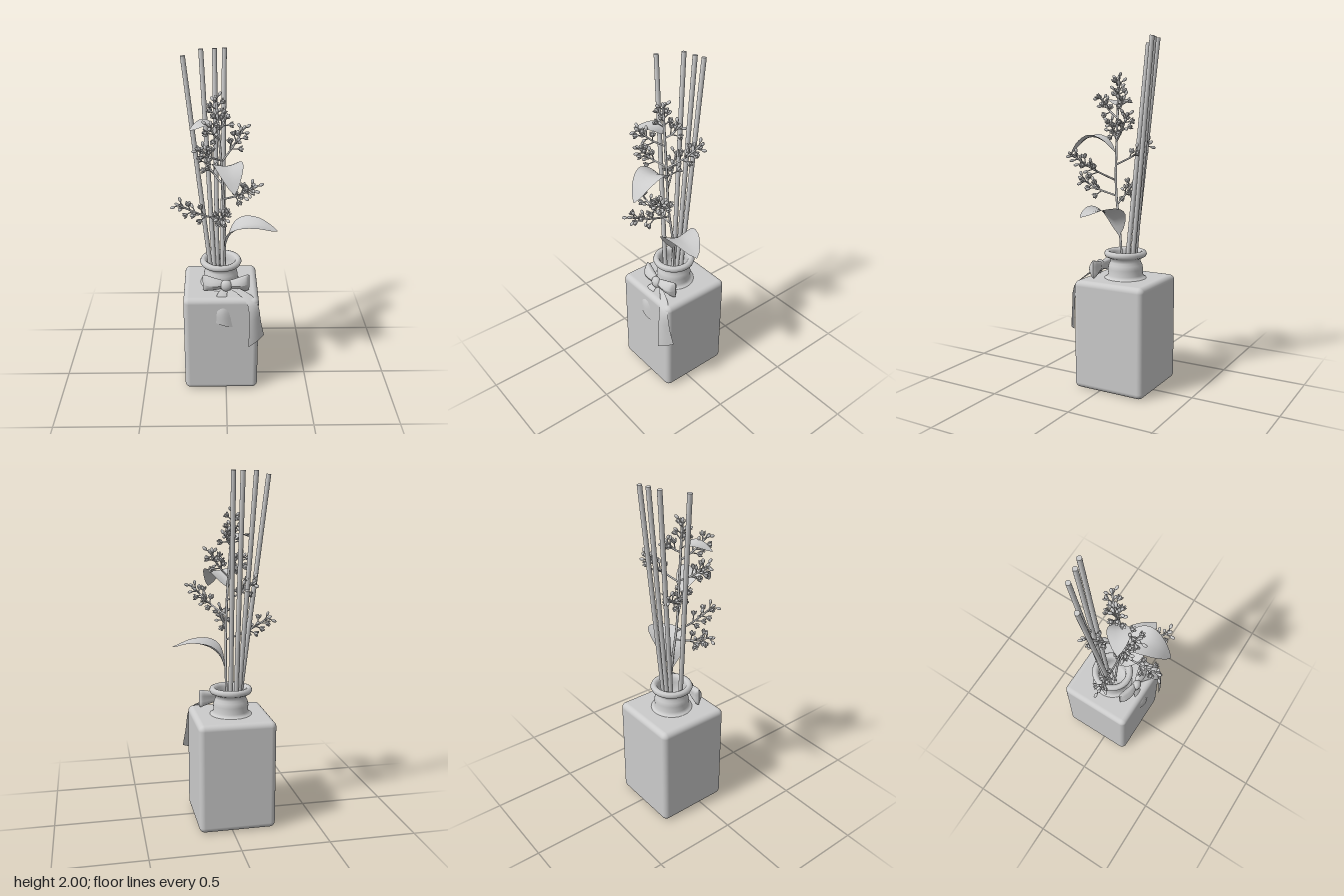
import * as THREE from 'three';
import { mergeGeometries } from 'three/addons/utils/BufferGeometryUtils.js';
import { RoundedBoxGeometry } from 'three/addons/geometries/RoundedBoxGeometry.js';

const V = (x, y, z) => new THREE.Vector3(x, y, z);
const UP = V(0, 1, 0);
const solid = new THREE.MeshStandardMaterial({ color: 0xcccccc });
const thin = new THREE.MeshStandardMaterial({ color: 0xcccccc, side: THREE.DoubleSide });

function add(parent, name, geometry, material = solid) {
  const mesh = new THREE.Mesh(geometry, material);
  mesh.name = name;
  parent.add(mesh);
  return mesh;
}

// Surface through a grid: point(u, v) returns a Vector3
function surface(point, nu, nv) {
  const pos = [], index = [];
  for (let i = 0; i <= nu; i++) {
    for (let j = 0; j <= nv; j++) {
      pos.push(...point(i / nu, j / nv).toArray());
      if (i < nu && j < nv) {
        const a = i * (nv + 1) + j, b = a + nv + 1;
        index.push(a, b, a + 1, b, b + 1, a + 1);
      }
    }
  }
  const g = new THREE.BufferGeometry();
  g.setAttribute('position', new THREE.Float32BufferAttribute(pos, 3));
  g.setIndex(index);
  g.computeVertexNormals();
  return g;
}

// Straight rod between two points
function rod(a, b, r0, r1, sides = 6) {
  const d = b.clone().sub(a);
  const g = new THREE.CylinderGeometry(r1, r0, d.length(), sides);
  g.applyQuaternion(new THREE.Quaternion().setFromUnitVectors(UP, d.normalize()));
  const m = a.clone().add(b).multiplyScalar(0.5);
  return g.translate(m.x, m.y, m.z);
}

// Leaf along a midrib, folded upward either side of it
function leaf(midrib, halfWidth, fold) {
  const curve = new THREE.CatmullRomCurve3(midrib);
  const first = midrib[0], last = midrib[midrib.length - 1];
  const side = V(last.z - first.z, 0, first.x - last.x).normalize();
  return surface((u, v) => {
    const s = v * 2 - 1;
    const w = halfWidth * (0.03 + 0.97 * Math.pow(Math.sin(Math.PI * Math.pow(u, 0.85)), 0.75));
    const p = curve.getPoint(u).addScaledVector(side, s * w);
    p.y += fold * (w / halfWidth) * Math.pow(Math.abs(s), 1.4) * (1 - u);
    return p;
  }, 14, 8);
}

// Closed bud, or a bloom with a ring of petals, pointing along dir
function flower(at, dir, open) {
  const parts = [new THREE.SphereGeometry(1, 8, 6).scale(0.009, 0.015, 0.009).translate(0, 0.008, 0)];
  if (open) {
    for (let i = 0; i < 5; i++) {
      parts.push(new THREE.SphereGeometry(1, 6, 5).scale(0.008, 0.013, 0.004)
        .rotateX(0.4).translate(0, 0.012, 0.012).rotateY(i * Math.PI * 0.4));
    }
  }
  const g = mergeGeometries(parts);
  g.applyQuaternion(new THREE.Quaternion().setFromUnitVectors(UP, dir));
  return g.translate(at.x, at.y, at.z);
}

// Curved twig with short stalks spiralling round its outer half
function spray(from, to, count) {
  const mid = from.clone().lerp(to, 0.5);
  mid.y -= 0.012;
  const curve = new THREE.CatmullRomCurve3([from, mid, to]);
  const parts = [new THREE.TubeGeometry(curve, 8, 0.0055, 6)];
  for (let i = 0; i < count; i++) {
    const t = 0.4 + 0.58 * i / (count - 1);
    const p = curve.getPoint(t), tangent = curve.getTangent(t);
    const across = V(1, 0.3, 0.5).cross(tangent).normalize().applyAxisAngle(tangent, i * 2.4);
    const dir = across.addScaledVector(tangent, 0.8).normalize();
    const end = p.clone().addScaledVector(dir, 0.05 - 0.018 * t);
    parts.push(rod(p, end, 0.004, 0.003, 5), flower(end, dir, i % 5 < 3 && t < 0.85));
  }
  parts.push(flower(to, curve.getTangent(1), false));
  return mergeGeometries(parts);
}

export function createModel() {
  const model = new THREE.Group();
  const cx = -0.03, cz = -0.058;

  // Bottle: rounded block, waisted neck and rolled open rim
  add(model, 'bottleBody', new RoundedBoxGeometry(0.442, 0.636, 0.442, 5, 0.032))
    .position.set(cx, 0.318, cz);
  const profile = [[0.135, 0.628], [0.112, 0.642], [0.1, 0.655], [0.102, 0.69], [0.097, 0.715],
    [0.088, 0.73], [0.088, 0.75], [0.105, 0.757], [0.118, 0.764], [0.124, 0.778], [0.118, 0.792],
    [0.105, 0.797], [0.091, 0.792], [0.084, 0.778], [0.08, 0.75], [0.08, 0.65], [0, 0.65]];
  add(model, 'bottleNeck', new THREE.LatheGeometry(profile.map(p => new THREE.Vector2(...p)), 40), thin)
    .position.set(cx, 0, cz);

  // Reeds: foot x, z then tip x, y, z
  const reeds = new THREE.Group();
  reeds.name = 'reeds';
  for (const [x0, z0, x1, y1, z1] of [
    [-0.08, -0.035, -0.23, 1.983, -0.095], [-0.066, -0.085, -0.135, 1.998, -0.205],
    [-0.05, -0.1, -0.06, 1.998, -0.218], [-0.02, -0.1, -0.006, 1.998, -0.232]]) {
    add(reeds, 'reed', rod(V(x0, 0.65, z0), V(x1, y1, z1), 0.0135, 0.0135, 16));
  }
  model.add(reeds);

  // Flowering stem
  const plant = new THREE.Group();
  plant.name = 'floweringStem';
  const stem = new THREE.CatmullRomCurve3([V(-0.01, 0.65, -0.05), V(-0.005, 0.9, -0.035),
    V(-0.012, 1.15, -0.005), V(-0.025, 1.4, 0), V(-0.04, 1.6, 0), V(-0.052, 1.76, 0)]);
  add(plant, 'stem', new THREE.TubeGeometry(stem, 30, 0.007, 8));

  // Sprays: height on the stem, tip position, flower count
  for (const [y, x1, y1, z1, n] of [
    [1.05, -0.27, 1.175, 0.02, 11], [1.1, -0.03, 1.2, 0.245, 11], [1.2, 0.15, 1.35, 0.19, 15],
    [1.28, -0.135, 1.41, -0.155, 9], [1.42, 0.1, 1.57, -0.135, 12], [1.43, -0.14, 1.53, 0.1, 12],
    [1.55, -0.09, 1.67, 0.14, 9], [1.6, 0, 1.66, -0.06, 6], [1.6, -0.055, 1.775, 0.0, 10]]) {
    const p = stem.getPoints(100).find(q => q.y >= y);
    add(plant, 'flowerSpray', spray(p, V(x1, y1, z1), n));
  }

  // Leaves
  add(plant, 'lowerLeaf', leaf([V(-0.005, 0.88, -0.03), V(0.025, 0.97, -0.015), V(0.09, 1.025, 0),
    V(0.19, 1.045, 0.02), V(0.295, 1.02, 0.045)], 0.1, 0.06), thin);
  add(plant, 'middleLeaf', leaf([V(-0.025, 1.36, 0.01), V(-0.008, 1.42, 0.07), V(0.01, 1.445, 0.14),
    V(0.025, 1.415, 0.21), V(0.04, 1.34, 0.272)], 0.082, 0.03), thin);
  add(plant, 'upperLeaf', leaf([V(-0.045, 1.62, 0), V(-0.08, 1.65, 0.025), V(-0.13, 1.655, 0.055),
    V(-0.195, 1.63, 0.09)], 0.06, 0.015), thin);
  model.add(plant);

  // Bow: two flared loops with pinched folds, and a knot
  const bow = new THREE.Group();
  bow.name = 'bow';
  for (const side of [1, -1]) {
    add(bow, 'bowLoop', surface((u, v) => {
      const a = v * Math.PI * 2;
      const cap = u > 0.85 ? Math.sqrt(Math.max(0, 1 - ((u - 0.85) / 0.15) ** 2)) : 1;
      const h = (0.024 + 0.032 * u) * (0.85 + 0.15 * cap);
      const d = (0.014 + 0.014 * Math.sin(u * 2.6)) * cap * (1 + 0.2 * Math.cos(3 * a));
      return V(side * (0.012 + 0.125 * u), 0.697 + h * Math.sin(a), 0.088 - 0.025 * u * u + d * Math.cos(a));
    }, 12, 20), thin);
  }
  add(bow, 'bowKnot', new THREE.SphereGeometry(1, 16, 12).scale(0.034, 0.036, 0.026))
    .position.set(0, 0.695, 0.098);

  // Ribbon tails: rows of left and right edge points
  const tail = rows => {
    const edges = [0, 1].map(k => new THREE.CatmullRomCurve3(rows.map(r => V(...r[k]))));
    return surface((u, v) => {
      const p = edges[0].getPoint(u).lerp(edges[1].getPoint(u), v);
      p.z += 0.012 * u * Math.sin(v * Math.PI);
      return p;
    }, 12, 6);
  };
  add(bow, 'longTail', tail([
    [[0.005, 0.68, 0.09], [0.025, 0.7, 0.09]], [[0.09, 0.642, 0.14], [0.15, 0.645, 0.13]],
    [[0.125, 0.6, 0.175], [0.185, 0.6, 0.16]], [[0.132, 0.46, 0.19], [0.205, 0.48, 0.158]],
    [[0.132, 0.33, 0.195], [0.225, 0.385, 0.148]]]), thin);
  add(bow, 'shortTail', tail([
    [[-0.02, 0.68, 0.09], [0.012, 0.68, 0.09]], [[-0.055, 0.642, 0.12], [0.005, 0.642, 0.12]],
    [[-0.055, 0.56, 0.162], [0.012, 0.575, 0.158]], [[-0.06, 0.48, 0.165], [0.04, 0.45, 0.162]]]), thin);
  model.add(bow);
  return model;
}
